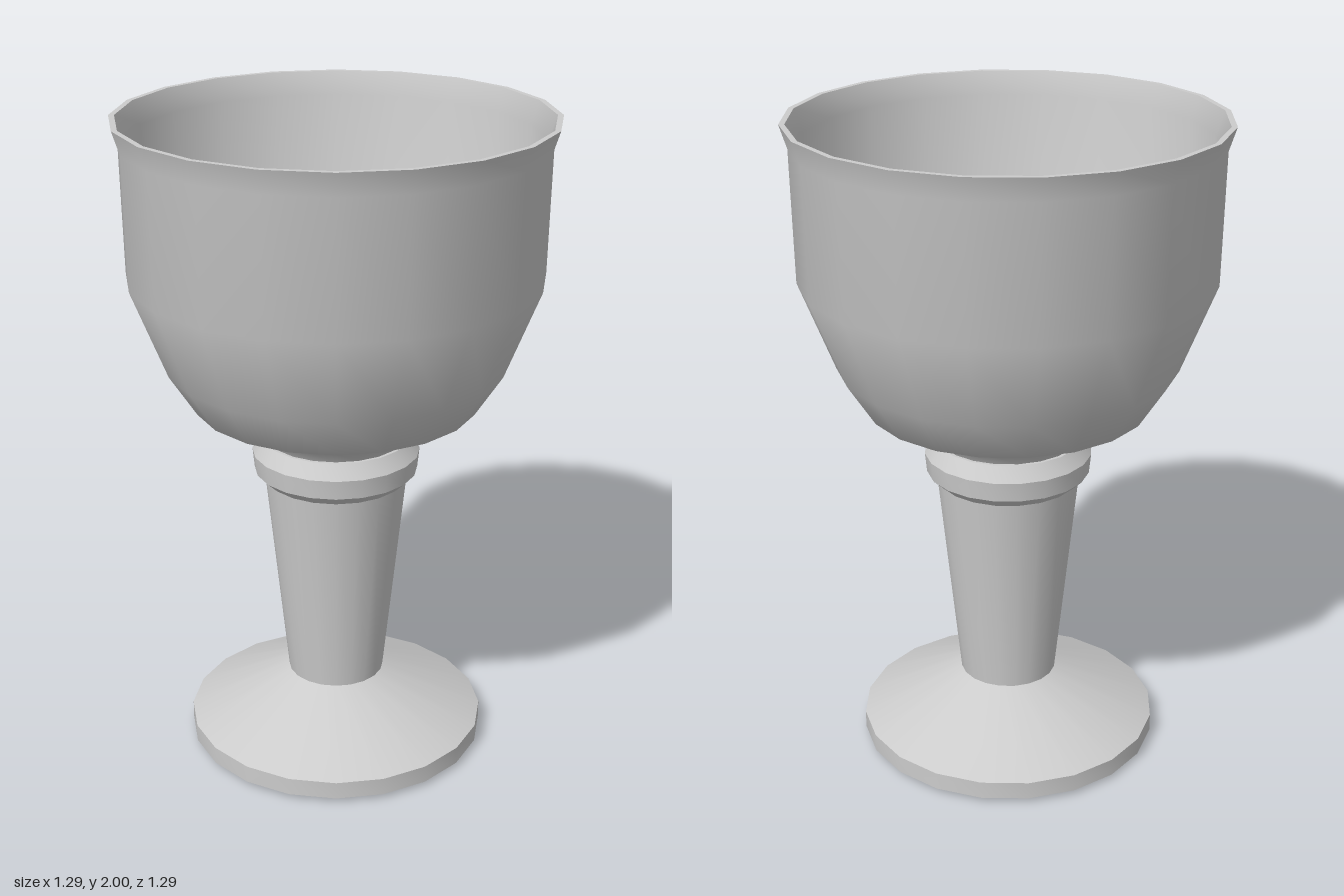
import * as THREE from 'three';
import { toCreasedNormals } from 'three/addons/utils/BufferGeometryUtils.js';

const SIDES = 20;
const material = new THREE.MeshStandardMaterial({ color: 0xcccccc });

// Turn a profile of [radius, height] points around the y axis
function turned(name, profile) {
  const points = profile.map(([r, y]) => new THREE.Vector2(r, y));
  const geometry = toCreasedNormals(new THREE.LatheGeometry(points, SIDES), THREE.MathUtils.degToRad(38));
  const mesh = new THREE.Mesh(geometry, material);
  mesh.name = name;
  return mesh;
}

export function createModel() {
  const goblet = new THREE.Group();
  goblet.name = 'goblet';

  // Foot: shallow round recess underneath, short rim, sloping top
  goblet.add(turned('foot', [
    [0, 0.045], [0.22, 0.045], [0.22, 0], [0.465, 0.015], [0.465, 0.07], [0.15, 0.22],
  ]));

  // Stem widening towards the bowl
  goblet.add(turned('stem', [[0.15, 0.22], [0.218, 0.885]]));

  // Collar between stem and bowl
  goblet.add(turned('collar', [
    [0.218, 0.885], [0.25, 0.915], [0.256, 0.975], [0.225, 1.02], [0, 1.02],
  ]));

  // Bowl: outer wall up to the flared lip, then the inner wall down to the floor
  goblet.add(turned('bowl', [
    [0.215, 1.02], [0.235, 1.053], [0.43, 1.137], [0.512, 1.265], [0.617, 1.535], [0.623, 1.93], [0.645, 2],
    [0.628, 2], [0.605, 1.93], [0.597, 1.54], [0.49, 1.28], [0.387, 1.16], [0, 1.16],
  ]));

  return goblet;
}
